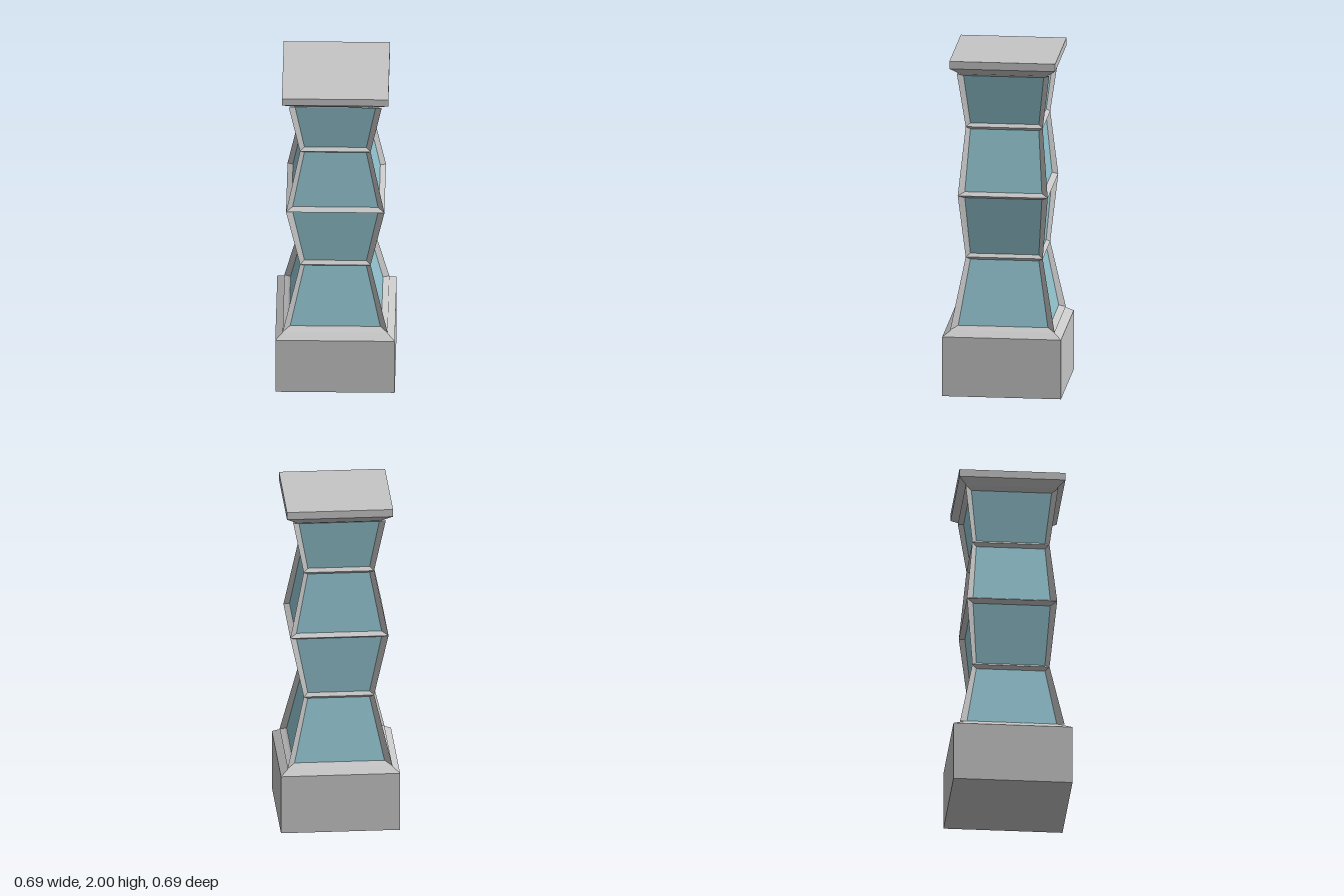
import * as THREE from 'three';

const stone = new THREE.MeshStandardMaterial({ color: 0xc6c6c6 });
stone.name = 'light grey frame';
const glass = new THREE.MeshStandardMaterial({ color: 0x93c5d1 });
glass.name = 'pale blue glass';

// outline of the column at each rib: height, half width, half depth, frame inset
const levels = [
  { y: 0.388, x: 0.305, z: 0.305, inset: 0.043 },
  { y: 0.802, x: 0.205, z: 0.225, inset: 0.025 },
  { y: 1.188, x: 0.286, z: 0.263, inset: 0.038 },
  { y: 1.584, x: 0.205, z: 0.225, inset: 0.025 },
  { y: 1.917, x: 0.270, z: 0.270, inset: 0.036 },
];
const ribHalf = 0.018;

function quadMesh(name, quads, material) {
  const positions = [];
  for (const [a, b, c, d] of quads) positions.push(...a, ...b, ...c, ...a, ...c, ...d);
  const geometry = new THREE.BufferGeometry();
  geometry.setAttribute('position', new THREE.Float32BufferAttribute(positions, 3));
  geometry.computeVertexNormals();
  const mesh = new THREE.Mesh(geometry, material);
  mesh.name = name;
  return mesh;
}

// square block whose top and bottom may differ in size
function taperedBlock(name, bottomHalf, topHalf, y0, y1) {
  const geometry = new THREE.BoxGeometry(2, y1 - y0, 2);
  const p = geometry.attributes.position;
  for (let i = 0; i < p.count; i++) {
    const half = p.getY(i) > 0 ? topHalf : bottomHalf;
    p.setX(i, p.getX(i) * half);
    p.setZ(i, p.getZ(i) * half);
  }
  geometry.translate(0, (y0 + y1) / 2, 0);
  geometry.computeVertexNormals();
  const mesh = new THREE.Mesh(geometry, stone);
  mesh.name = name;
  return mesh;
}

// one recessed pane with its four sloping frame strips, facing +z
function facePanel(low, high, sideways) {
  const corners = (level, shift) => {
    const w = sideways ? level.z : level.x;
    const d = sideways ? level.x : level.z;
    const iw = w - level.inset;
    const id = d - level.inset * 0.85;
    return {
      outer: [[-w, level.y, d], [w, level.y, d]],
      inner: [[-iw, level.y + shift, id], [iw, level.y + shift, id]],
    };
  };
  const a = corners(low, ribHalf);
  const b = corners(high, -ribHalf);
  const outer = [a.outer[0], a.outer[1], b.outer[1], b.outer[0]];
  const inner = [a.inner[0], a.inner[1], b.inner[1], b.inner[0]];
  const strips = outer.map((p, i) => {
    const j = (i + 1) % 4;
    return [p, outer[j], inner[j], inner[i]];
  });
  const panel = new THREE.Group();
  panel.add(quadMesh('frameStrips', strips, stone), quadMesh('glassPane', [inner], glass));
  return panel;
}

export function createModel() {
  const model = new THREE.Group();
  model.name = 'column';

  // plinth
  model.add(taperedBlock('plinth', 0.347, 0.347, 0, 0.355));
  model.add(taperedBlock('plinthSlope', 0.347, 0.27, 0.355, 0.407));

  // four tiers of glazed panels on four sides
  for (let tier = 0; tier < levels.length - 1; tier++) {
    for (let side = 0; side < 4; side++) {
      const panel = facePanel(levels[tier], levels[tier + 1], side % 2 === 1);
      panel.name = `tier${tier + 1}Panel${side + 1}`;
      panel.rotation.y = side * Math.PI / 2;
      model.add(panel);
    }
  }

  // cap
  model.add(taperedBlock('capSlope', 0.24, 0.309, 1.902, 1.955));
  model.add(taperedBlock('capSlab', 0.309, 0.309, 1.955, 2));
  return model;
}
